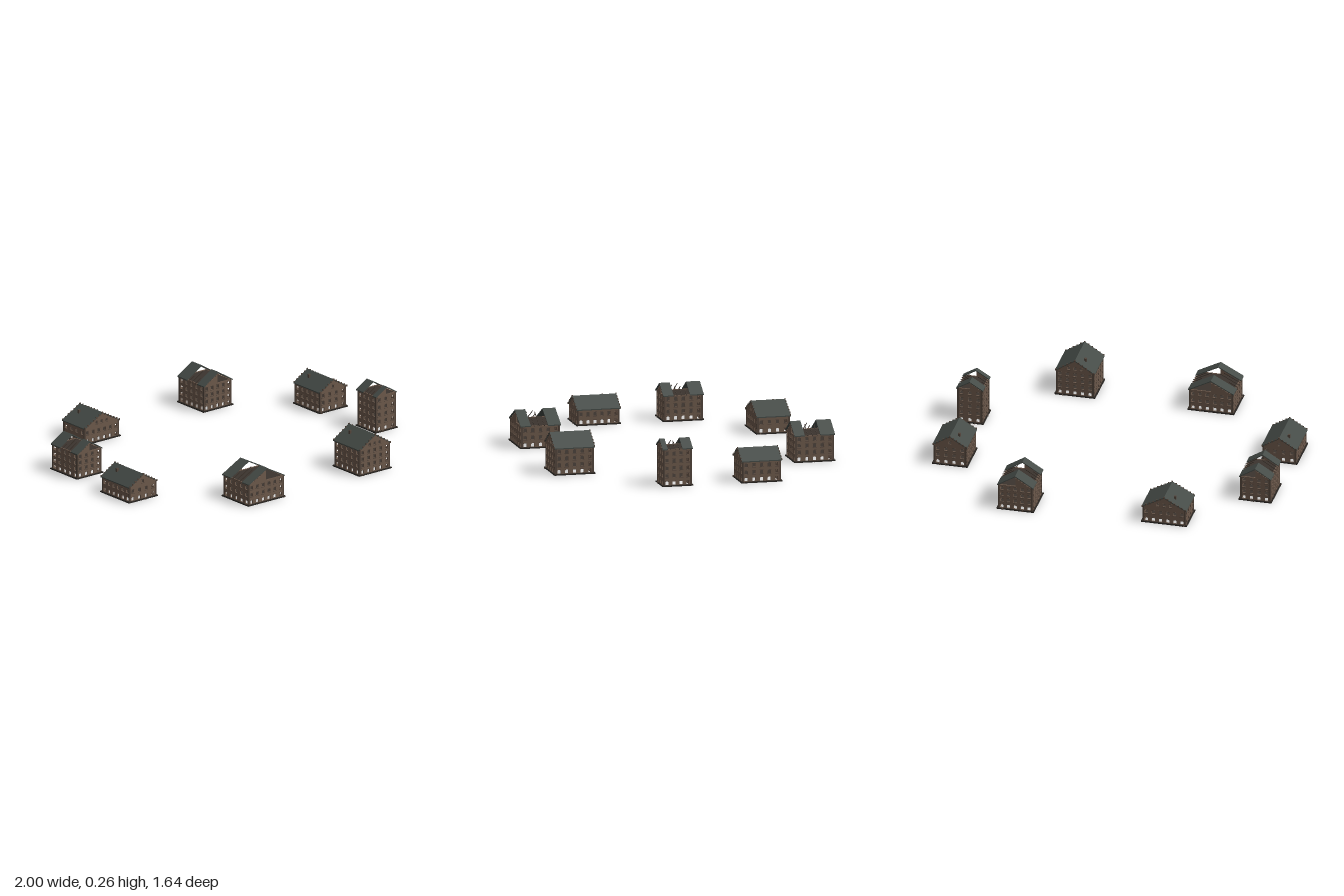
import * as THREE from 'three';
import { mergeGeometries } from 'three/addons/utils/BufferGeometryUtils.js';

const mat = (color, side = THREE.FrontSide) =>
  new THREE.MeshStandardMaterial({ color, side, flatShading: true, roughness: 0.9 });
const BRICK = mat(0x6e5a4c), ROOF = mat(0x454b47), TRIM = mat(0x54463c);
const TIMBER = mat(0x3a3029), FLOOR = mat(0x3b342e), BASE = mat(0x2a2622);
const T = 0.007; // wall thickness

// x0, x1, z0, z1 of the roof, eave and ridge heights, storeys, optional hole in the roof (z from, to)
const HOUSES = [
  [-0.57, -0.31, -0.775, -0.575, 0.1, 0.17, 2],
  [0.305, 0.515, -0.82, -0.585, 0.155, 0.22, 4, [-0.735, -0.645]],
  [-0.965, -0.78, -0.39, -0.155, 0.15, 0.207, 4, [-0.31, -0.215]],
  [0.795, 0.995, -0.39, -0.155, 0.125, 0.186, 3],
  [-0.995, -0.79, 0.09, 0.345, 0.093, 0.155, 2],
  [0.83, 0.985, 0.125, 0.3, 0.216, 0.263, 5, [0.185, 0.27]],
  [-0.51, -0.245, 0.575, 0.81, 0.13, 0.2, 3, [0.65, 0.75]],
  [0.295, 0.525, 0.575, 0.81, 0.155, 0.228, 4],
];

function add(parent, name, geometry, material) {
  const m = new THREE.Mesh(geometry, material);
  m.name = name;
  parent.add(m);
  return m;
}

function box(w, h, d, x, y, z) {
  return new THREE.BoxGeometry(w, h, d).translate(x, y, z);
}

function rng(seed) {
  return () => (seed = (seed * 16807) % 2147483647) / 2147483647;
}

// Wall in the xy plane with rows of window holes and sills; outline gives the top edge
function wall(name, width, storeys, storeyH, top, gableRow) {
  const g = new THREE.Group();
  g.name = name;
  const shape = new THREE.Shape([[-width / 2, 0], [width / 2, 0], ...top].map(p => new THREE.Vector2(...p)));
  const cols = Math.round(width / 0.043), pitch = width / cols, sills = [];
  const opening = (x, y, w, h) => {
    const pts = [[-w, 0], [w, 0], [w, h * 0.8], [w * 0.5, h], [-w * 0.5, h], [-w, h * 0.8]];
    shape.holes.push(new THREE.Path(pts.map(([a, b]) => new THREE.Vector2(x + a / 2, y + b))));
    sills.push(box(w * 1.3, 0.003, 0.005, x, y - 0.0015, T));
    sills.push(box(w * 1.2, 0.002, 0.003, x, y + h + 0.001, T));
  };
  for (let r = 0; r < storeys; r++)
    for (let c = 0; c < cols; c++)
      opening((c - (cols - 1) / 2) * pitch, r * storeyH + 0.009, 0.019, 0.021);
  for (const x of gableRow) opening(x, storeys * storeyH + 0.012, 0.015, 0.018);
  add(g, name + 'Brick', new THREE.ExtrudeGeometry(shape, { depth: T, bevelEnabled: false }), BRICK);
  add(g, name + 'Sills', mergeGeometries(sills), TRIM);
  return g;
}

function house([x0, x1, z0, z1, eave, ridge, storeys, hole], index) {
  const g = new THREE.Group();
  g.name = (hole ? 'ruinedHouse' : 'house') + (index + 1);
  const cx = (x0 + x1) / 2, cz = (z0 + z1) / 2, rand = rng(index * 977 + 31);
  g.position.set(cx, 0, cz);
  const W = x1 - x0, D = z1 - z0, w = W - 0.012, d = D - 0.012;
  const slope = (ridge - eave) / (W / 2), storeyH = (eave - 0.004) / storeys;
  const wallTop = eave - 0.002;
  const under = x => ridge - 0.007 - Math.abs(x) * slope;

  // Gable outline: full triangle, or a broken stepped left half
  let top = [[w / 2, wallTop], [0, ridge - 0.007], [-w / 2, wallTop]];
  if (hole) {
    const n = 6;
    top = [[w / 2, wallTop], [0, wallTop]];
    for (let i = 0; i < n; i++) {
      const a = -w / 2 * i / n, b = -w / 2 * (i + 1) / n;
      const y = Math.max(wallTop + 0.001, under(b));
      top.push([a, y], [b, y]);
    }
    top.push([-w / 2, wallTop]);
  }
  const gableRow = hole ? [] : [-0.036, 0, 0.036].filter(x => under(x) > eave + 0.035);
  const side = [[d / 2, wallTop], [-d / 2, wallTop]];
  const mirrored = top.map(([x, y]) => [-x, y]).reverse();

  const front = wall('frontWall', w, storeys, storeyH, top, gableRow);
  front.position.z = d / 2 - T;
  const back = wall('backWall', w, storeys, storeyH, mirrored, gableRow);
  back.rotation.y = Math.PI;
  back.position.z = -d / 2 + T;
  g.add(front, back);
  for (const s of [-1, 1]) {
    const m = wall(s > 0 ? 'leftWall' : 'rightWall', d, storeys, storeyH, side, []);
    m.rotation.y = s * Math.PI / 2;
    m.position.x = s * (w / 2 - T);
    g.add(m);
  }

  // Storey floors, the underside and the plinth
  const floors = [];
  for (let i = 1; i <= storeys; i++) floors.push(box(w - 2 * T, 0.003, d - 2 * T, 0, i * storeyH - 0.002, 0));
  add(g, 'floors', mergeGeometries(floors), FLOOR);
  add(g, 'underside', new THREE.PlaneGeometry(W, D).rotateX(Math.PI / 2), BASE);
  const plinth = [];
  for (const s of [-1, 1]) {
    plinth.push(box(W + 0.006, 0.007, 0.01, 0, 0.0035, s * (D / 2 - 0.004)));
    plinth.push(box(0.01, 0.007, D, s * (W / 2 - 0.002), 0.0035, 0));
  }
  add(g, 'plinth', mergeGeometries(plinth), BASE);

  // Corner piers
  const piers = [];
  for (const sx of [-1, 1]) for (const sz of [-1, 1])
    piers.push(box(0.01, wallTop, 0.01, sx * (w / 2 - 0.004), wallTop / 2, sz * (d / 2 - 0.004)));
  add(g, 'cornerPiers', mergeGeometries(piers), TRIM);

  // Roof: one chevron slab, or two ends with bare rafters between
  const t = 0.006;
  const chevron = new THREE.Shape([[-W / 2, eave], [-W / 2, eave - t], [0, ridge - t], [W / 2, eave - t], [W / 2, eave], [0, ridge]]
    .map(p => new THREE.Vector2(...p)));
  const roofPart = (name, a, b, material = ROOF) => add(g, name,
    new THREE.ExtrudeGeometry(chevron, { depth: b - a, bevelEnabled: false }).translate(0, 0, a), material);
  if (hole) {
    const [a, b] = hole.map(z => z - cz);
    roofPart('backRoof', -D / 2, a);
    roofPart('frontRoof', b, D / 2);
    // Broken rafters of uneven length
    const rafters = [];
    for (let i = 0; i < 3; i++) for (const s of [-1, 1]) {
      const part = 0.35 + 0.6 * rand();
      const len = Math.hypot(W / 2, ridge - eave) * part;
      const r = box(len, 0.003, 0.003, -len / 2, 0, 0);
      r.rotateZ(Math.atan(slope)).translate(W / 2 - 0.004, 0, 0);
      const end = new THREE.BoxGeometry(len, 0.003, 0.003)
        .rotateZ(-s * Math.atan(slope))
        .translate(s * (W / 2) * (1 - part / 2), eave - 0.003 + (ridge - eave) * part / 2, a + (b - a) * (i + 0.7) / 3.4);
      rafters.push(end);
    }
    add(g, 'brokenRafters', mergeGeometries(rafters), TIMBER);
  } else {
    roofPart('roof', -D / 2, D / 2);
    add(g, 'chimney', box(0.013, 0.026, 0.013, -W * 0.2, ridge - W * 0.2 * slope + 0.004, -D * 0.22), TRIM);
    // Small blocks stepping up both verges
    const blocks = [], n = Math.round(W / 2 / 0.022);
    for (const sz of [-1, 1]) for (let i = -n; i <= n; i++) {
      const x = i / n * (W / 2 - 0.006);
      blocks.push(box(0.009, 0.01, 0.005, x, ridge - Math.abs(x) * slope - 0.002, sz * (D / 2 - 0.001)));
    }
    add(g, 'vergeBlocks', mergeGeometries(blocks), TRIM);
  }

  // A little rubble along the foot of the walls
  const rubble = [];
  for (let i = 0; i < 6; i++) {
    const s = 0.005 + 0.005 * rand(), u = rand() - 0.5, e = i % 2 ? 1 : -1;
    const [x, z] = i < 3 ? [u * W, e * (D / 2 + 0.001)] : [e * (W / 2 - 0.001), u * D];
    rubble.push(new THREE.BoxGeometry(s, s, s).rotateY(rand() * 3).translate(x, s / 2, z));
  }
  add(g, 'rubble', mergeGeometries(rubble), TRIM);
  return g;
}

export function createModel() {
  const model = new THREE.Group();
  model.name = 'ruinedVillage';
  HOUSES.forEach((h, i) => model.add(house(h, i)));
  return model;
}
